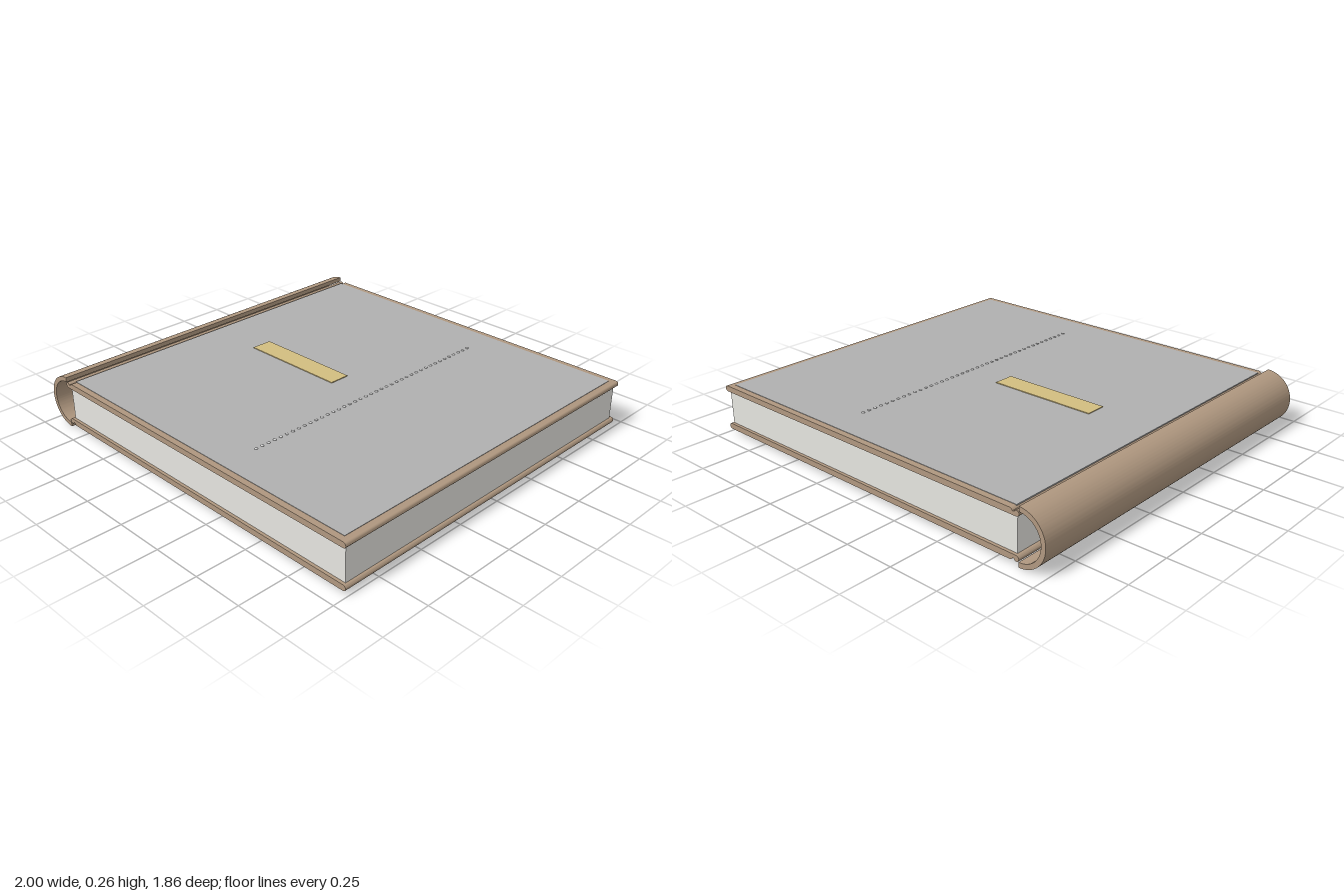
import * as THREE from 'three';
import { toCreasedNormals } from 'three/addons/utils/BufferGeometryUtils.js';

const DEPTH = 1.86;   // front-to-back length of covers and spine
const MID = 0.135;    // height of the horizontal mirror plane

const mat = (color) => new THREE.MeshStandardMaterial({ color });
const leather = mat(0xb09880);
const paper = mat(0xe6e5e0);
const cloth = mat(0xb0b0b0);
const brass = mat(0xd2bd80);
const thread = mat(0xcccccc);

// Sweep a profile in x/y along z, centred on z = 0
function sweep(shape, curveSegments) {
  const geo = new THREE.ExtrudeGeometry(shape, { depth: DEPTH, bevelEnabled: false, curveSegments });
  geo.translate(0, 0, -DEPTH / 2);
  return toCreasedNormals(geo, 0.6);
}

// Board profile: rounded ends and a hinge groove near the spine; side is +1 top, -1 bottom
function coverShape(side) {
  const inner = 0.084, outer = 0.112, r = 0.014;
  const c = (inner + outer) / 2, x0 = -0.855, x1 = 0.981;
  const pts = [[x0, inner], [x1, inner]];
  for (let i = 1; i < 8; i++) {
    const a = -Math.PI / 2 + (Math.PI * i) / 8;
    pts.push([x1 + r * Math.cos(a), c + r * Math.sin(a)]);
  }
  pts.push([x1, outer], [-0.825, outer], [-0.832, outer - 0.004], [-0.836, outer - 0.01],
    [-0.844, outer - 0.01], [-0.848, outer - 0.004], [x0, outer - 0.001]);
  for (let i = 1; i < 8; i++) {
    const a = Math.PI / 2 + (Math.PI * i) / 8;
    pts.push([x0 + r * Math.cos(a), c + r * Math.sin(a)]);
  }
  return new THREE.Shape(pts.map(([x, y]) => new THREE.Vector2(x, MID + side * y)));
}

export function createModel() {
  const model = new THREE.Group();
  const add = (name, geo, material, x = 0, y = 0, z = 0, parent = model) => {
    const mesh = new THREE.Mesh(geo, material);
    mesh.name = name;
    mesh.position.set(x, y, z);
    parent.add(mesh);
    return mesh;
  };

  // Front and back boards
  add('topCover', sweep(coverShape(1), 8), leather);
  add('bottomCover', sweep(coverShape(-1), 8), leather);

  // Page block
  add('pages', new THREE.BoxGeometry(1.83, 0.176, 1.83), paper, 0.065, MID, 0);

  // Hollow half-round spine
  const spine = new THREE.Shape();
  spine.absarc(-0.868, MID, 0.132, Math.PI / 2, Math.PI * 1.5, false);
  spine.absarc(-0.868, MID, 0.109, Math.PI * 1.5, Math.PI / 2, true);
  spine.closePath();
  add('spine', sweep(spine, 32), leather);

  // Inlaid cloth panel and label plate on the top cover
  add('coverPanel', new THREE.BoxGeometry(1.79, 0.006, 1.8), cloth, 0.064, 0.246, 0);
  add('labelPlate', new THREE.BoxGeometry(0.56, 0.006, 0.106), brass, -0.238, 0.25, -0.002);

  // Row of stitches across the panel
  const stitches = new THREE.Group();
  stitches.name = 'stitches';
  model.add(stitches);
  const bead = new THREE.SphereGeometry(0.008, 10, 8).scale(1, 0.6, 1);
  for (let i = 0; i < 41; i++) {
    add('stitch', bead, thread, 0.25, 0.249, -0.713 + i * 0.0356, stitches);
  }
  return model;
}
